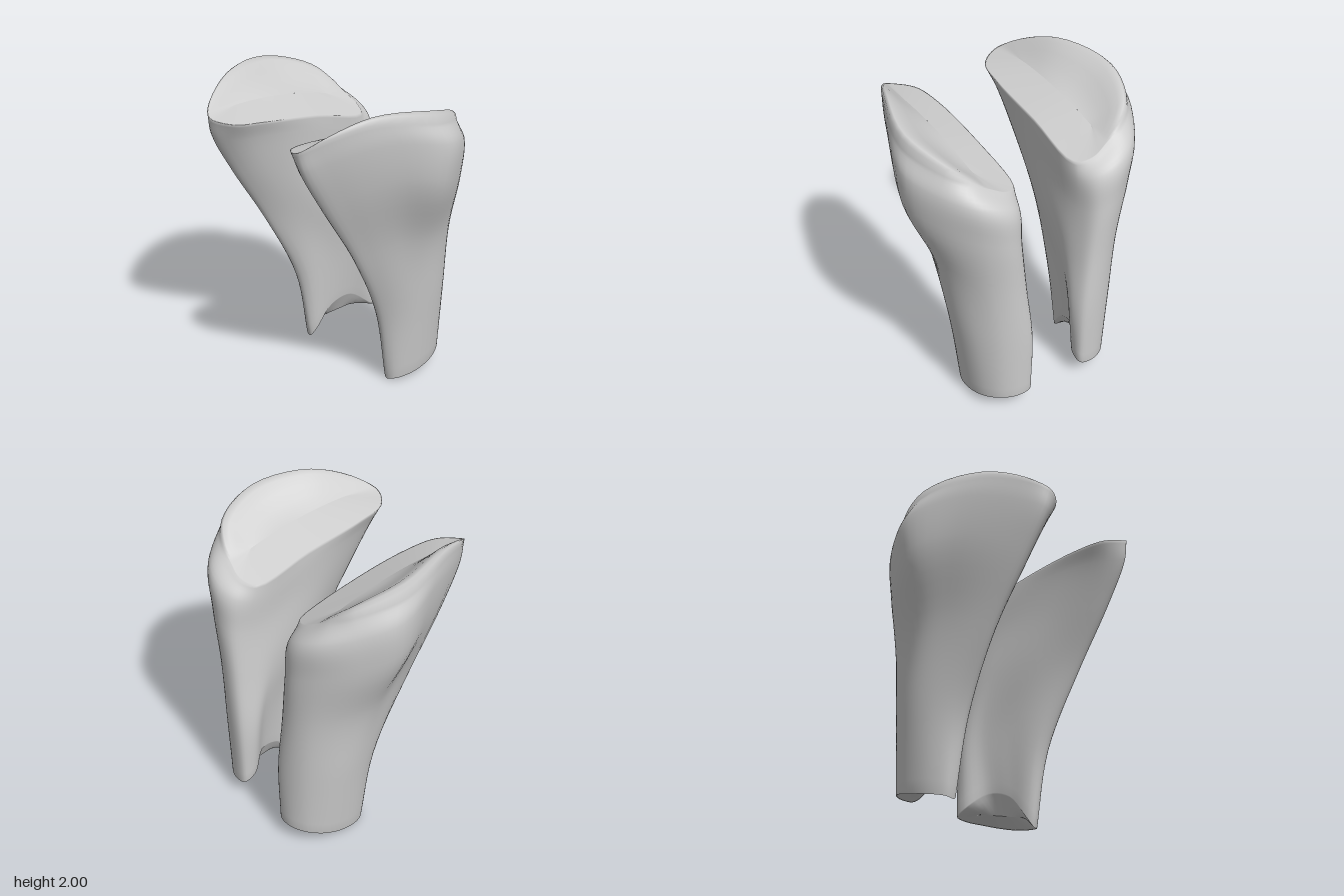
import * as THREE from 'three';

// Each section lists 12 points [x, z]: front ridge, round the outer side, the back, then the inner side.
const sections = [
  { v: 0, p: [[.375, -.13], [.43, -.15], [.48, -.25], [.49, -.38], [.465, -.5], [.4, -.595], [.3, -.645], [.2, -.635], [.19, -.55], [.275, -.43], [.31, -.28], [.335, -.16]] },
  { v: .28, p: [[.39, -.03], [.46, -.08], [.53, -.2], [.55, -.34], [.515, -.48], [.42, -.6], [.3, -.65], [.2, -.64], [.165, -.55], [.215, -.42], [.27, -.25], [.325, -.07]] },
  { v: .55, p: [[.42, .21], [.49, .13], [.57, -.04], [.62, -.24], [.575, -.43], [.47, -.58], [.35, -.64], [.24, -.625], [.195, -.52], [.2, -.32], [.25, -.06], [.35, .14]] },
  { v: .78, p: [[.42, .47], [.52, .36], [.67, .1], [.775, -.17], [.69, -.4], [.53, -.58], [.38, -.645], [.27, -.615], [.215, -.48], [.21, -.22], [.245, .12], [.335, .38]] },
  { v: .93, p: [[.41, .62], [.51, .51], [.675, .2], [.798, -.17], [.7, -.41], [.55, -.575], [.4, -.625], [.275, -.59], [.21, -.47], [.205, -.12], [.235, .28], [.305, .53]] },
  { v: 1, p: [[.39, .65], [.485, .575], [.635, .29], [.755, -.11], [.65, -.4], [.53, -.48], [.42, -.5], [.31, -.51], [.215, -.45], [.205, -.05], [.217, .38], [.26, .57]] },
];
// Heights of the top rim and the bottom rim at each of the 12 points
const rim = [1.82, 1.88, 1.96, 1.9, 1.83, 1.77, 1.71, 1.65, 1.62, 1.71, 1.77, 1.79];
const hem = [.005, .015, .035, .06, .09, .115, .125, .135, .18, .27, .23, .07];
const AROUND = 60, STEPS = 6;

// Smooth closed ring through 12 points
const smoothRing = (pts) => {
  const curve = new THREE.CatmullRomCurve3(pts, true, 'centripetal');
  return Array.from({ length: AROUND }, (_, i) => curve.getPoint(i / AROUND));
};

// Middle lines of the end faces: each rim point is drawn in towards one of these
const topSpine = ({ z }) => {
  const s = z * .65;
  return new THREE.Vector3(.43, 1.81 + .15 * s - .2 * s * s, s);
};
const bottomSpine = ({ z }) => {
  const s = -.38 + (z + .38) * .6;
  return new THREE.Vector3(.31 + (s + .55) * .3, .16 - (s + .55) * .2, s);
};
const drawIn = (ring, spine, k) => ring.map((p) => p.clone().lerp(spine(p), k));

// The top face swells on its outer half, most of all close to the rim
const topRing = (ring, k) => drawIn(ring, topSpine, k).map((p) => {
  p.y += Math.sin(Math.PI * Math.sqrt(k)) * .35 * Math.max(0, p.x - .43);
  return p;
});

function legGeometry(side) {
  const columns = rim.map((top, i) => new THREE.CatmullRomCurve3(sections.map(({ v, p }) => (
    new THREE.Vector3(p[i][0], hem[i] + (top - hem[i]) * v, p[i][1])
  )), false, 'centripetal'));

  const walls = [];
  const count = (sections.length - 1) * STEPS;
  for (let j = 0; j <= count; j++) walls.push(smoothRing(columns.map((c) => c.getPoint(j / count))));

  const rings = [
    ...[1, .6, .25, .06].map((k) => drawIn(walls[0], bottomSpine, k)),
    ...walls,
    ...[.03, .1, .25, .45, .65, .85, 1].map((k) => topRing(walls[count], k)),
  ];

  const positions = [], index = [];
  rings.forEach((ring) => ring.forEach((p) => positions.push(p.x * side, Math.max(0, p.y), p.z)));
  for (let j = 0; j < rings.length - 1; j++) {
    for (let i = 0; i < AROUND; i++) {
      const n = (i + 1) % AROUND;
      const a = j * AROUND + i, b = j * AROUND + n, c = b + AROUND, d = a + AROUND;
      if (side > 0) index.push(a, b, c, a, c, d);
      else index.push(a, c, b, a, d, c);
    }
  }
  const geometry = new THREE.BufferGeometry();
  geometry.setAttribute('position', new THREE.Float32BufferAttribute(positions, 3));
  geometry.setIndex(index);
  geometry.computeVertexNormals();
  return geometry;
}

export function createModel() {
  const group = new THREE.Group();
  const material = new THREE.MeshStandardMaterial({ color: 0xcccccc });
  // Mirrored pair
  for (const [name, side] of [['leftLegGuard', 1], ['rightLegGuard', -1]]) {
    const mesh = new THREE.Mesh(legGeometry(side), material);
    mesh.name = name;
    group.add(mesh);
  }
  return group;
}
